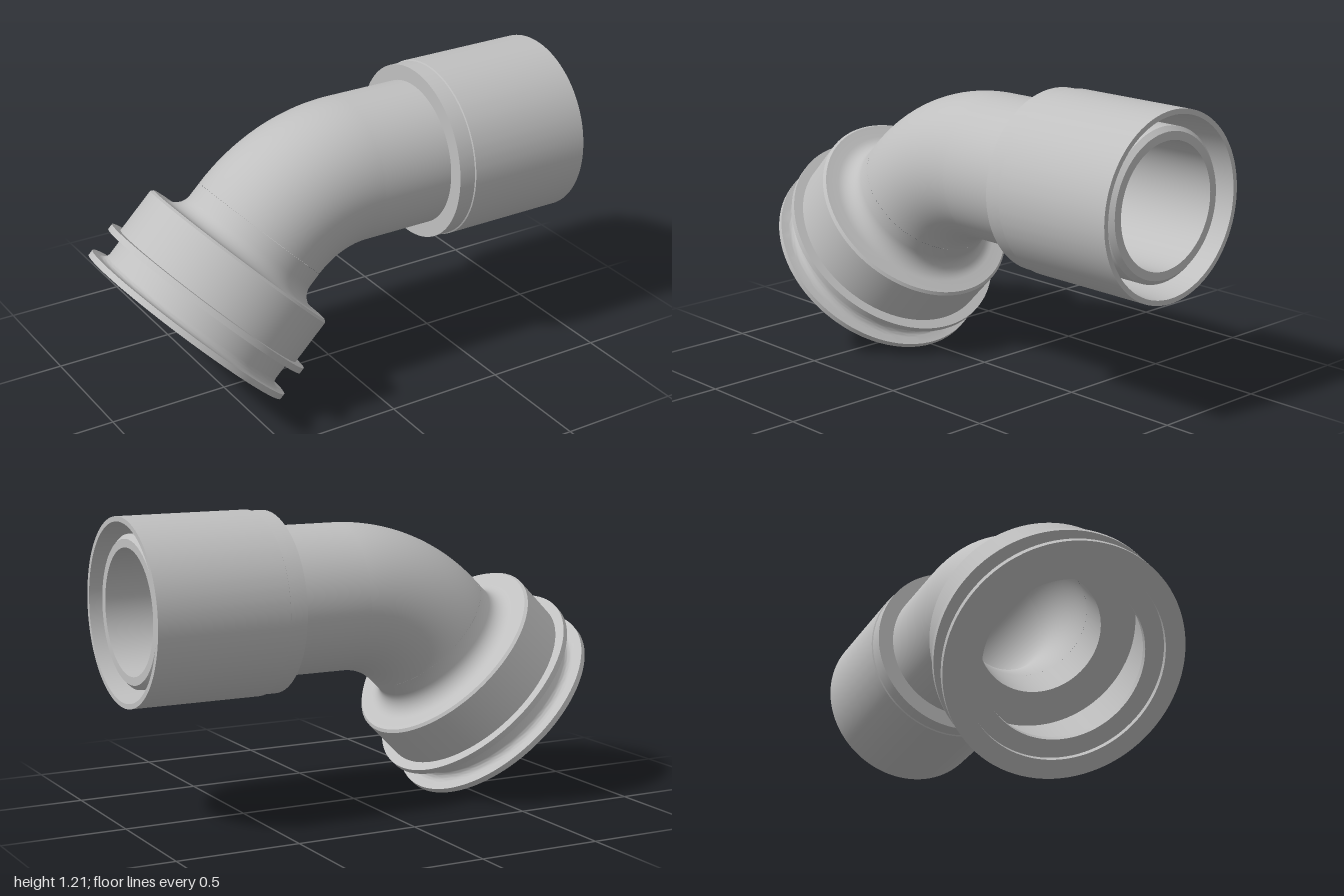
import * as THREE from 'three';
import { toCreasedNormals } from 'three/addons/utils/BufferGeometryUtils.js';

const SEGMENTS = 96;
const PIPE_R = 0.298, BORE_R = 0.247;
const AXIS_Y = 0.845;              // height of the straight pipe
const BEND_X = 0.08;               // where the bend begins
const BEND_R = 0.567;              // radius of the bend's centre line
const SOCKET = [-0.665, 0.335];    // centre of the socket's open face

export function createModel() {
  const group = new THREE.Group();
  const grey = new THREE.MeshStandardMaterial({ color: 0xc0c0c0 });
  grey.name = 'plain grey';

  function add(name, geometry, x, y) {
    const mesh = new THREE.Mesh(geometry, grey);
    mesh.name = name;
    mesh.position.set(x, y, 0);
    group.add(mesh);
  }

  // Turned part: [radius, distance along axis], then tilted about z
  function turned(profile, tilt) {
    const points = profile.map(([r, d]) => new THREE.Vector2(r, d));
    const lathe = new THREE.LatheGeometry(points, SEGMENTS);
    return toCreasedNormals(lathe, 0.5).rotateZ(tilt);
  }

  // Quarter-round fillet points between two angles
  function fillet(r, d, radius, from, to, steps = 8) {
    return Array.from({ length: steps + 1 }, (_, i) => {
      const a = from + (to - from) * i / steps;
      return [r + radius * Math.cos(a), d + radius * Math.sin(a)];
    });
  }

  // Straight pipe with a chamfered mouth
  add('straightPipe', turned([
    [PIPE_R, BEND_X], [PIPE_R, 0.952], [0.28, 0.97], [BORE_R, 0.97], [BORE_R, BEND_X],
  ], -Math.PI / 2), 0, AXIS_Y);

  // Outer sleeve with a slightly tapered gap around the pipe
  add('sleeve', turned([
    [PIPE_R, 0.39], [0.362, 0.39], [0.362, 0.46], [0.367, 0.463],
    [0.367, 1], [0.347, 1], [0.322, 0.55], [PIPE_R, 0.55],
  ], -Math.PI / 2), 0, AXIS_Y);

  // 45 degree bend: outer wall, and bore with its faces turned inward
  const bend = (radius) =>
    new THREE.TorusGeometry(BEND_R, radius, SEGMENTS, 32, Math.PI / 4).rotateZ(Math.PI / 2);
  add('bendWall', bend(PIPE_R), BEND_X, AXIS_Y - BEND_R);

  const bore = bend(BORE_R);
  bore.index.array.reverse();
  const normals = bore.attributes.normal;
  for (let i = 0; i < normals.array.length; i++) normals.array[i] *= -1;
  add('bendBore', bore, BEND_X, AXIS_Y - BEND_R);

  // Socket: bore and seal chamber, then lip, flanges, shoulder and neck
  const end = 0.486;
  add('socket', turned([
    [BORE_R, end], [BORE_R, 0.315], [0.39, 0.315], [0.39, 0.045],
    [0.32, 0.045], [0.32, 0.02], [0.395, 0.02], [0.395, 0],
    [0.474, 0], [0.474, 0.024],
    ...fillet(0.44, 0.054, 0.03, -Math.PI / 2, -Math.PI),
    [0.41, 0.127], [0.474, 0.127], [0.474, 0.152], [0.433, 0.152],
    [0.433, 0.346], [0.423, 0.356],
    ...fillet(0.368, 0.426, 0.07, -Math.PI / 2, -Math.PI),
    [PIPE_R, end],
  ], -Math.PI / 4), SOCKET[0], SOCKET[1]);

  return group;
}
